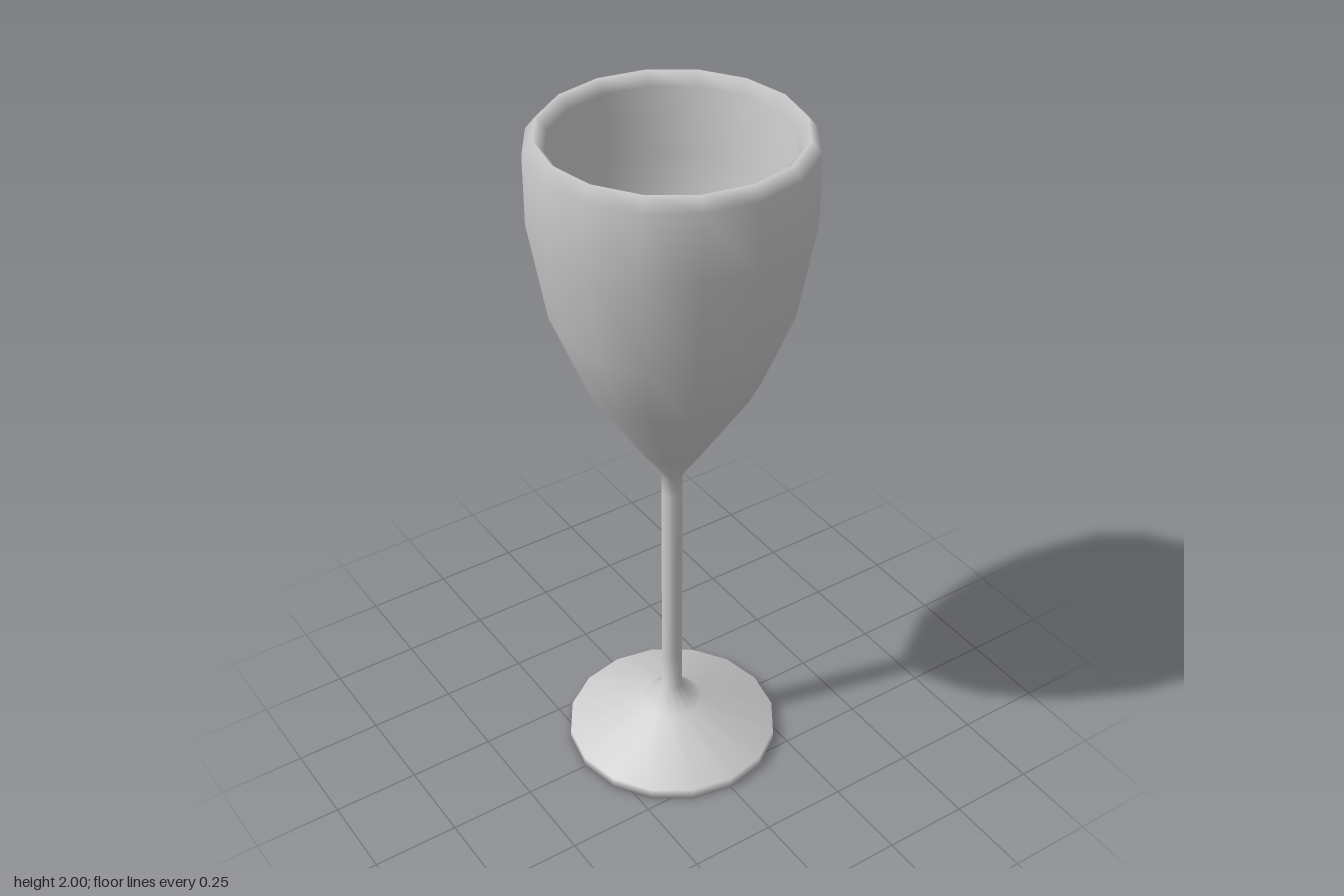
import * as THREE from 'three';

const SIDES = 16;

export function createModel() {
  const group = new THREE.Group();
  const material = new THREE.MeshStandardMaterial({ color: 0xcccccc });

  // Each part is a smooth turned profile of [radius, height] pairs
  const turn = (name, profile) => {
    const points = profile.map(([r, y]) => new THREE.Vector2(r, y));
    const mesh = new THREE.Mesh(new THREE.LatheGeometry(points, SIDES), material);
    mesh.name = name;
    group.add(mesh);
  };

  // Flat-bottomed foot flaring out of the stem
  turn('foot', [[0, 0], [0.31, 0], [0.31, 0.035], [0.09, 0.125], [0.03, 0.18], [0.03, 0.3]]);

  // Slim straight stem
  turn('stem', [[0.03, 0.3], [0.03, 0.9]]);

  // Bowl: outer wall up, over the rounded rim, inner wall down to the bottom
  turn('bowl', [
    [0.03, 0.9], [0.03, 0.96], [0.095, 1.06], [0.238, 1.285], [0.322, 1.5], [0.369, 1.775],
    [0.369, 1.966], [0.341, 2], [0.313, 1.966],
    [0.312, 1.775], [0.272, 1.52], [0.192, 1.315], [0.07, 1.12], [0, 1.06],
  ]);

  return group;
}
